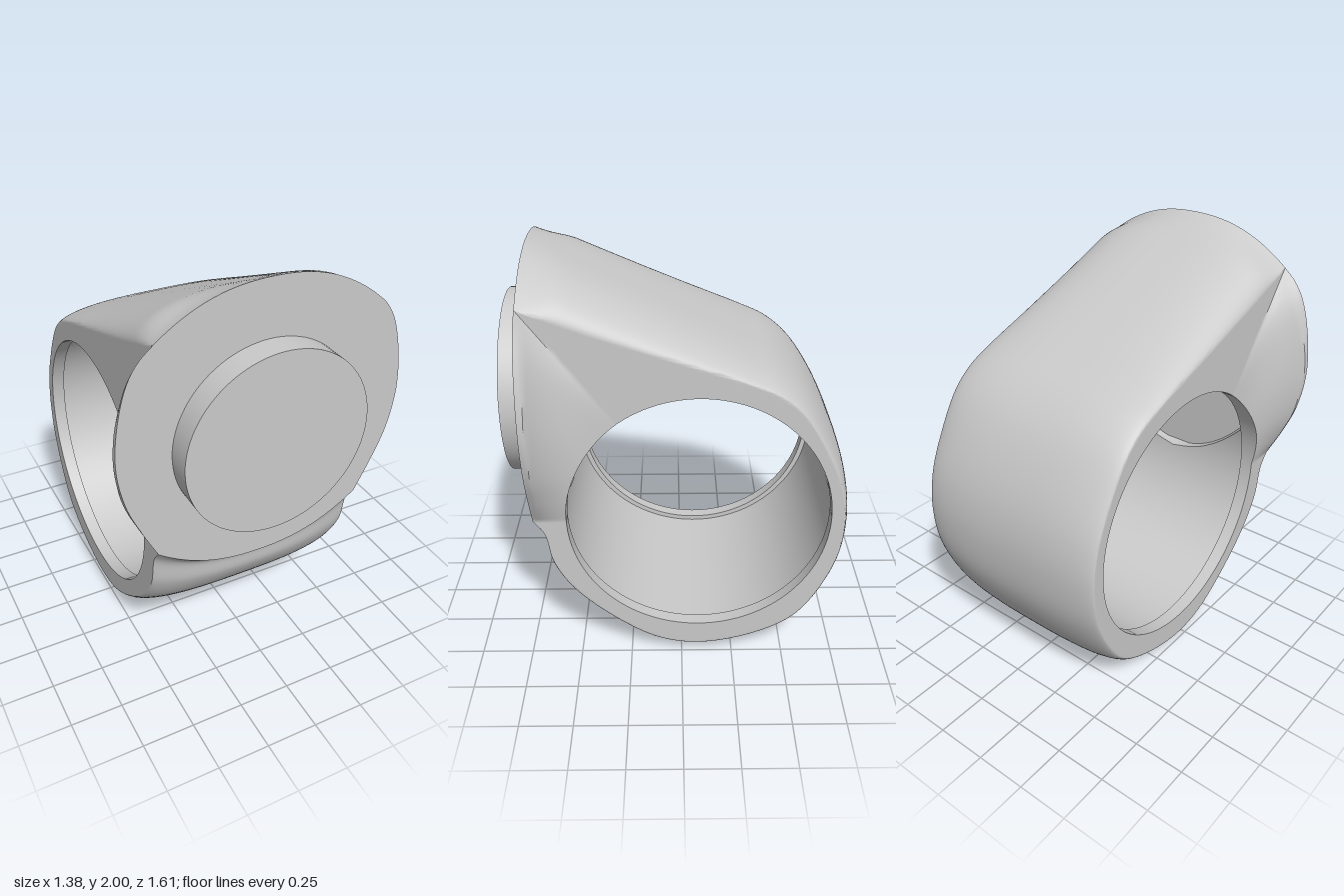
import * as THREE from 'three';
import { toCreasedNormals } from 'three/addons/utils/BufferGeometryUtils.js';

const BORE = { y: 0.8, z: -0.08, r: 0.615 };
const HALF = 0.515; // half width of the band
const FRONT = 0.69; // plane of the flat face
const GROOVE = { r: 0.64, w: 0.45 }; // shallow relief inside the bore

// outer contour rows: crest z, crest y, shoulder z, shoulder y
const ROWS = [
  [0.69, 2.0, 0.69, 1.82], [0.4, 1.868, 0.4, 1.71], [0, 1.686, 0, 1.575],
  [-0.3, 1.549, -0.3, 1.475], [-0.45, 1.475, -0.435, 1.415], [-0.58, 1.36, -0.54, 1.325],
  [-0.7, 1.17, -0.655, 1.135], [-0.775, 0.97, -0.73, 0.955], [-0.8, 0.75, -0.755, 0.75],
  [-0.765, 0.5, -0.715, 0.525], [-0.6, 0.2, -0.56, 0.25], [-0.4, 0.07, -0.375, 0.135],
  [-0.1, 0, -0.1, 0.07], [0.12, 0.035, 0.105, 0.1], [0.35, 0.17, 0.315, 0.225],
  [0.55, 0.36, 0.51, 0.405], [0.64, 0.5, 0.605, 0.56], [0.66, 0.6, 0.64, 0.72],
  [0.69, 0.62, 0.69, 0.79],
];
// side outline of the flat face, bottom to top
const FACE = [
  [0.515, 0.79], [0.585, 0.93], [0.655, 1.1], [0.69, 1.3],
  [0.675, 1.5], [0.627, 1.68], [0.575, 1.765], [0.515, 1.82],
];

const curve = (pts) => new THREE.CatmullRomCurve3(pts.map((p) => new THREE.Vector3(...p)));
const flare = (z) => Math.pow(THREE.MathUtils.clamp(z / 0.66, 0, 1), 5.3);

// stations round the ring: shoulder point and crest point
function makeStations() {
  const crest = curve(ROWS.map(([z, y]) => [0, y, z]));
  const shoulder = curve(ROWS.map(([, , z, y]) => [HALF, y, z]));
  const face = curve(FACE.map(([x, y]) => [x, y, FRONT]));
  const list = [];
  for (let i = 0; i <= 144; i++) list.push({ e: shoulder.getPoint(i / 144), c: crest.getPoint(i / 144) });
  for (let i = 0; i <= 48; i++) {
    const e = face.getPoint(i / 48);
    list.push({ e, c: new THREE.Vector3(0, e.y, FRONT) });
  }
  return list;
}

// radius and half width of the pocket behind the face, at angle a round the bore
function pocket(a) {
  const deg = THREE.MathUtils.radToDeg(a);
  const w = GROOVE.w * Math.sqrt(THREE.MathUtils.clamp((deg + 7) / 24, 0, 1));
  if (deg < -7 || deg > 125) return { r: GROOVE.r, w };
  const cos = Math.cos(a), sin = Math.sin(a);
  const toFace = cos > 0.01 ? (0.61 - BORE.z) / cos : 9;
  const rise = sin - 0.456 * cos;
  const toRoof = rise > 0.01 ? (1.8 - 0.456 * (FRONT - BORE.z) - BORE.y) / rise : 9;
  return { r: Math.max(GROOVE.r, Math.min(toFace, toRoof)), w };
}

// closed cross-section: pocket, groove, bore lip, side, rounded crest, then mirrored
function section({ e, c }) {
  const a = Math.atan2(e.y - BORE.y, e.z - BORE.z);
  const at = (r, x) => [x, BORE.y + r * Math.sin(a), BORE.z + r * Math.cos(a)];
  const { r, w } = pocket(a);
  const half = [at(r, 0), at(r, w), at(GROOVE.r, w), at(GROOVE.r, GROOVE.w), at(BORE.r, GROOVE.w)];
  const [, by, bz] = at(BORE.r, 0);
  const SIDE = 16, ARCH = 18;
  for (let i = 0; i <= SIDE; i++) {
    const t = 1 - Math.pow(1 - i / SIDE, 1.4);
    const z = THREE.MathUtils.lerp(bz, e.z, t);
    half.push([HALF + (e.x - HALF) * flare(z), THREE.MathUtils.lerp(by, e.y, t), z]);
  }
  // rounded shoulders on the band, blending to a plain arch at the face
  const blend = THREE.MathUtils.smoothstep(e.z, 0.5, FRONT);
  for (let i = 1; i <= ARCH; i++) {
    const u = i === ARCH ? 0 : Math.cos((i / ARCH) * Math.PI / 2);
    const round = 1 - Math.pow(1 - u * u * u, 0.6);
    const k = THREE.MathUtils.lerp(round, Math.pow(u, 2.3), blend);
    half.push([e.x * u, c.y + (e.y - c.y) * k, c.z + (e.z - c.z) * k]);
  }
  const mirrored = half.slice(1, -1).reverse().map(([x, y, z]) => [-x, y, z]);
  return [...half, ...mirrored];
}

// skin closed sections into a closed loop
function loft(sections) {
  const n = sections.length, m = sections[0].length, index = [];
  for (let s = 0; s < n; s++) {
    for (let u = 0; u < m; u++) {
      const s1 = (s + 1) % n, u1 = (u + 1) % m;
      const a = s * m + u, b = s1 * m + u, c = s1 * m + u1, d = s * m + u1;
      index.push(a, b, c, a, c, d);
    }
  }
  const g = new THREE.BufferGeometry();
  g.setAttribute('position', new THREE.Float32BufferAttribute(sections.flat(2), 3));
  g.setIndex(index);
  return toCreasedNormals(g, 0.7);
}

export function createModel() {
  const group = new THREE.Group();
  const grey = new THREE.MeshStandardMaterial({ color: 0xcacaca });
  grey.name = 'grey';

  // band, flared head and flat face
  const body = new THREE.Mesh(loft(makeStations().map(section)), grey);
  body.name = 'ringBody';

  // round raised disc on the face
  const boss = new THREE.Mesh(new THREE.CylinderGeometry(0.442, 0.442, 0.13, 96), grey);
  boss.name = 'faceDisc';
  boss.rotation.x = Math.PI / 2;
  boss.position.set(0, 1.287, 0.745);

  group.add(body, boss);
  return group;
}
